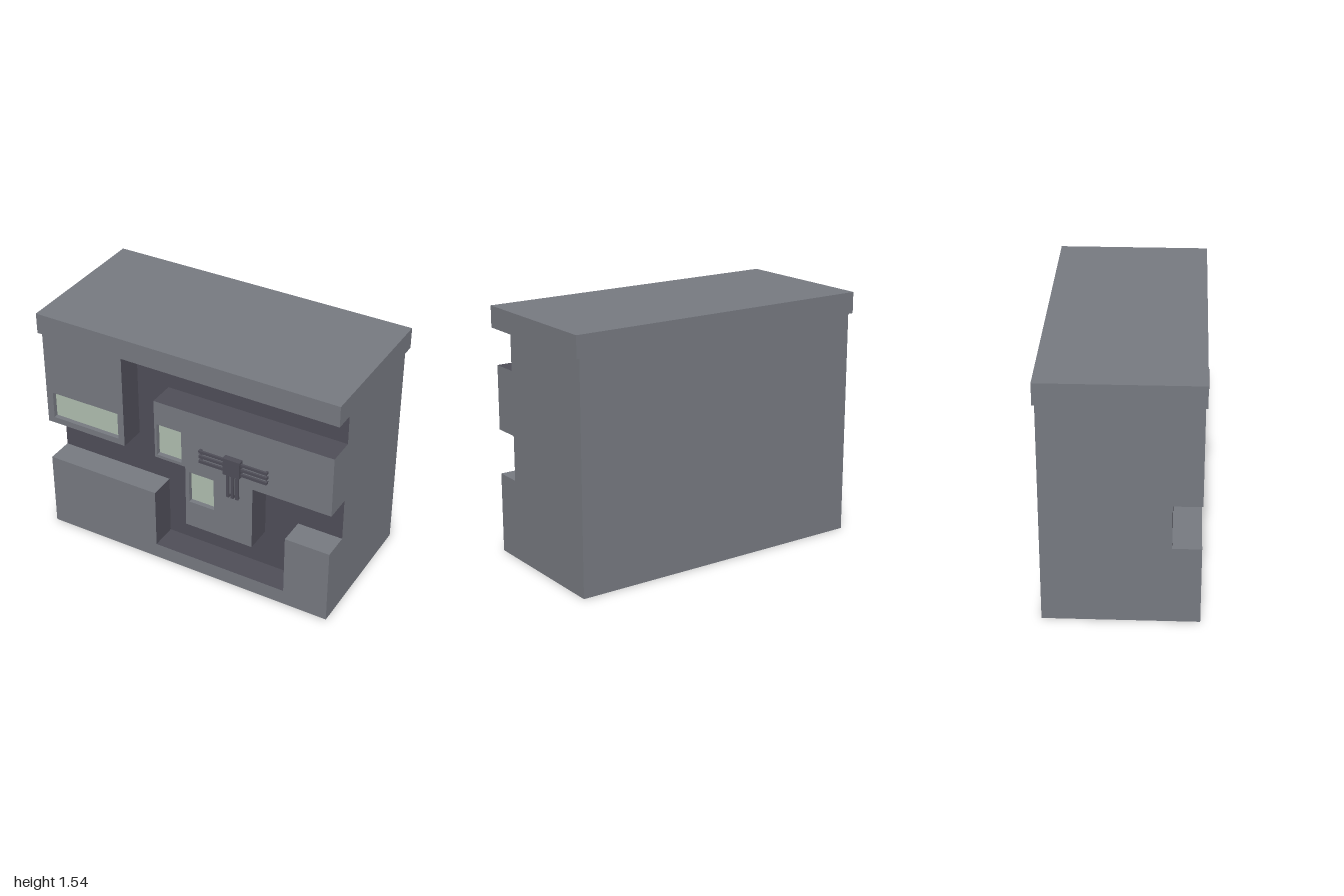
import * as THREE from 'three';

const W = 0.975, FRONT = 0.45, FLOOR = 0.28, BACK = -0.475, EAVES = 1.41;

const stone = new THREE.MeshStandardMaterial({ color: 0x75787f });
stone.name = 'greyStone';
const dark = new THREE.MeshStandardMaterial({ color: 0x4e4d57 });
dark.name = 'darkChannel';
const glass = new THREE.MeshStandardMaterial({ color: 0xadbcad });
glass.name = 'paleGlass';

// Window recesses: x0, x1, y0, y1
const windows = {
  left: [-0.93, -0.46, 0.82, 1.0],
  middle: [-0.185, -0.015, 0.8, 1.02],
  lower: [0.035, 0.205, 0.53, 0.75],
};

function box(parent, name, material, x0, x1, y0, y1, z0, z1) {
  const mesh = new THREE.Mesh(new THREE.BoxGeometry(x1 - x0, y1 - y0, z1 - z0), material);
  mesh.position.set((x0 + x1) / 2, (y0 + y1) / 2, (z0 + z1) / 2);
  mesh.name = name;
  parent.add(mesh);
  return mesh;
}

// Raised facade block: outer faces are stone, faces lining the channel are dark
function facadeBlock(name, outline, holes) {
  const shape = new THREE.Shape(outline.map(([x, y]) => new THREE.Vector2(x, y)));
  for (const [x0, x1, y0, y1] of holes) {
    shape.holes.push(new THREE.Path([
      new THREE.Vector2(x0, y0), new THREE.Vector2(x0, y1),
      new THREE.Vector2(x1, y1), new THREE.Vector2(x1, y0),
    ]));
  }
  const geometry = new THREE.ExtrudeGeometry(shape, { depth: FRONT - FLOOR, bevelEnabled: false });
  geometry.translate(0, 0, FLOOR);
  const p = geometry.attributes.position, n = geometry.attributes.normal;
  geometry.clearGroups();
  for (let i = 0; i < p.count; i += 3) {
    const x = (p.getX(i) + p.getX(i + 1) + p.getX(i + 2)) / 3;
    const y = (p.getY(i) + p.getY(i + 1) + p.getY(i + 2)) / 3;
    const e = 0.002;
    const inRecess = holes.some(([x0, x1, y0, y1]) =>
      x > x0 - e && x < x1 + e && y > y0 - e && y < y1 + e);
    const ledge = n.getY(i) > 0.9 && Math.abs(y - 0.5) < e;
    const outside = Math.abs(x) > W - e || y < e || Math.abs(n.getZ(i)) > 0.9;
    geometry.addGroup(i, 3, inRecess || ledge || outside ? 0 : 1);
  }
  const mesh = new THREE.Mesh(geometry, [stone, dark]);
  mesh.name = name;
  return mesh;
}

// Wall ornament: a square hub with three bars on each of three sides
function ornament() {
  const group = new THREE.Group();
  group.name = 'wallOrnament';
  box(group, 'hub', dark, 0.285, 0.397, 0.852, 0.966, FRONT, 0.488);
  const z0 = 0.46, z1 = 0.473, h = 0.009, foot = 0.014;
  for (const y of [0.941, 0.907, 0.872]) {
    box(group, 'crossBar', dark, 0.115, 0.567, y - h, y + h, z0, z1);
    box(group, 'barFoot', dark, 0.115, 0.115 + foot, y - h, y + h, FRONT, z0);
    box(group, 'barFoot', dark, 0.567 - foot, 0.567, y - h, y + h, FRONT, z0);
  }
  for (const x of [0.31, 0.341, 0.372]) {
    box(group, 'hangingBar', dark, x - h, x + h, 0.683, 0.86, z0, z1);
    box(group, 'barFoot', dark, x - h, x + h, 0.683, 0.683 + foot, FRONT, z0);
  }
  return group;
}

export function createModel() {
  const model = new THREE.Group();
  model.name = 'building';

  // Main mass, with the channel floor on its front face
  box(model, 'mainBody', [stone, stone, stone, stone, dark, stone], -W, W, 0, EAVES, BACK, FLOOR);

  // Raised front blocks
  model.add(facadeBlock('upperRightBlock',
    [[-W, 0.78], [-0.417, 0.78], [-0.417, EAVES], [-W, EAVES]], [windows.left]));
  model.add(facadeBlock('centreBlock',
    [[-0.2, 0.78], [0.01, 0.78], [0.01, 0.35], [0.465, 0.35], [0.465, 0.78],
      [W, 0.78], [W, 1.18], [-0.2, 1.18]], [windows.middle, windows.lower]));
  model.add(facadeBlock('baseBlock',
    [[-W, 0], [W, 0], [W, 0.5], [0.685, 0.5], [0.685, 0.1],
      [-0.21, 0.1], [-0.21, 0.5], [-W, 0.5]], []));

  // Channel ceiling and roof slab
  box(model, 'channelCeiling', dark, -0.417, W, EAVES - 0.004, EAVES, FLOOR, FRONT);
  box(model, 'roof', stone, -1, 1, EAVES, 1.543, -0.487, 0.461);

  // Recessed window panes
  for (const [name, [x0, x1, y0, y1]] of Object.entries(windows)) {
    box(model, name + 'Window', glass, x0, x1, y0, y1, 0.412, 0.42);
  }

  model.add(ornament());
  return model;
}
